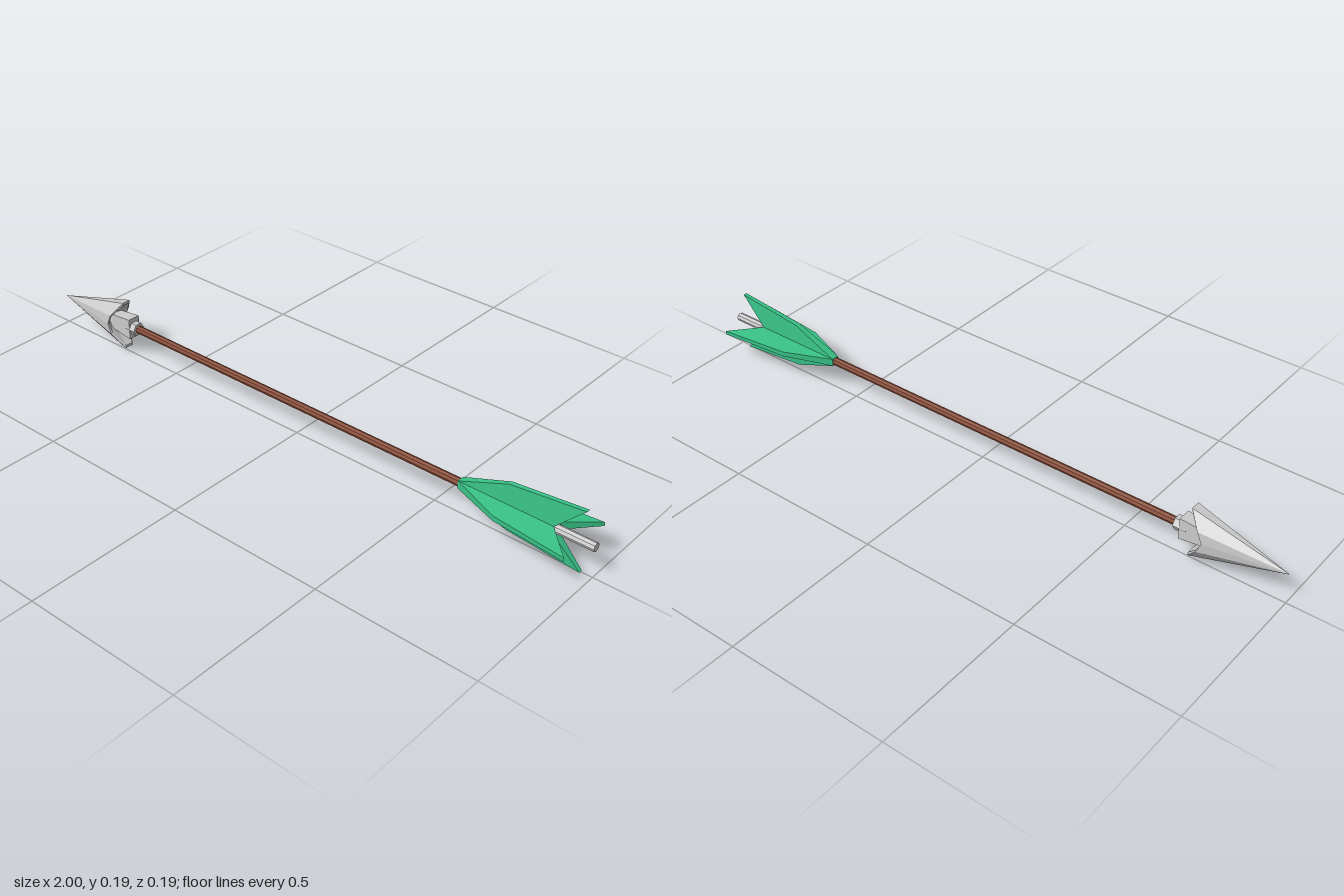
import * as THREE from 'three';

const AXIS_Y = 0.097;
const mat = (color) => new THREE.MeshStandardMaterial({ color, flatShading: true });

function add(parent, name, geometry, material) {
  const mesh = new THREE.Mesh(geometry, material);
  mesh.name = name;
  parent.add(mesh);
  return mesh;
}

// Tapered rod along x, from x0 (radius r0) to x1 (radius r1)
function rod(x0, x1, r0, r1, sides) {
  return new THREE.CylinderGeometry(r1, r0, x1 - x0, sides)
    .rotateZ(-Math.PI / 2).translate((x0 + x1) / 2, 0, 0);
}

// Barbed head: faceted point, thin rim and a hollow back
function headGeometry() {
  const quarter = [[-0.71, 0.081, 0.015], [-0.745, 0.034, 0.04], [-0.76, 0, 0.04]];
  const [barb, side, ridge] = quarter;
  const flip = ([x, y, z], sy, sz) => [x, y * sy, z * sz];
  const ring = [
    barb, side, ridge, flip(side, -1, 1), flip(barb, -1, 1),
    flip(barb, -1, -1), flip(side, -1, -1), flip(ridge, 1, -1), flip(side, 1, -1), flip(barb, 1, -1),
  ];
  const inner = ring.map(([x, y, z]) => [x, y * 0.89, z * 0.86]);
  const tip = [-1, 0, 0], hollow = [-0.79, 0, 0];
  const pos = [];
  ring.forEach((a, i) => {
    const j = (i + 1) % ring.length, b = ring[j];
    pos.push(...tip, ...b, ...a);
    pos.push(...a, ...b, ...inner[j], ...a, ...inner[j], ...inner[i]);
    pos.push(...inner[i], ...inner[j], ...hollow);
  });
  const geo = new THREE.BufferGeometry();
  geo.setAttribute('position', new THREE.Float32BufferAttribute(pos, 3));
  geo.computeVertexNormals();
  return geo;
}

// Socket block behind the head, flaring towards the shaft
function socketGeometry() {
  const geo = new THREE.BoxGeometry(0.11, 1, 1).translate(-0.735, 0, 0);
  const p = geo.attributes.position;
  for (let i = 0; i < p.count; i++) {
    const back = p.getX(i) > -0.735;
    p.setY(i, p.getY(i) * (back ? 0.068 : 0.044));
    p.setZ(i, p.getZ(i) * (back ? 0.042 : 0.036));
  }
  geo.computeVertexNormals();
  return geo;
}

// Swept feather, thick at the root and thin at the outer edge
function featherGeometry() {
  const shape = new THREE.Shape([
    [0.58, 0], [0.58, 0.012], [0.735, 0.073], [0.965, 0.097], [0.88, 0.012], [0.88, 0],
  ].map(([x, y]) => new THREE.Vector2(x, y)));
  const geo = new THREE.ExtrudeGeometry(shape, { depth: 1, bevelEnabled: false });
  geo.translate(0, 0, -0.5);
  const p = geo.attributes.position;
  for (let i = 0; i < p.count; i++) {
    p.setZ(i, p.getZ(i) * (0.026 - 0.014 * p.getY(i) / 0.097));
  }
  geo.computeVertexNormals();
  return geo;
}

export function createModel() {
  const model = new THREE.Group();
  model.name = 'arrow';
  const arrow = new THREE.Group();
  arrow.name = 'arrowBody';
  arrow.position.y = AXIS_Y;
  model.add(arrow);

  const metal = mat(0xcccccc), wood = mat(0x8a4b35), green = mat(0x38c287);

  // Head and its fitting
  add(arrow, 'head', headGeometry(), metal);
  add(arrow, 'socket', socketGeometry(), metal);
  add(arrow, 'collar', rod(-0.7, -0.66, 0.022, 0.022, 6), metal);

  // Shaft and nock
  add(arrow, 'shaft', rod(-0.68, 0.62, 0.0125, 0.0125, 8), wood);
  add(arrow, 'nock', rod(0.62, 1, 0.0135, 0.0135, 8), metal);

  // Four feathers around the shaft
  const feather = featherGeometry();
  for (let i = 0; i < 4; i++) {
    add(arrow, 'feather' + (i + 1), feather, green).rotation.x = i * Math.PI / 2;
  }
  return model;
}
